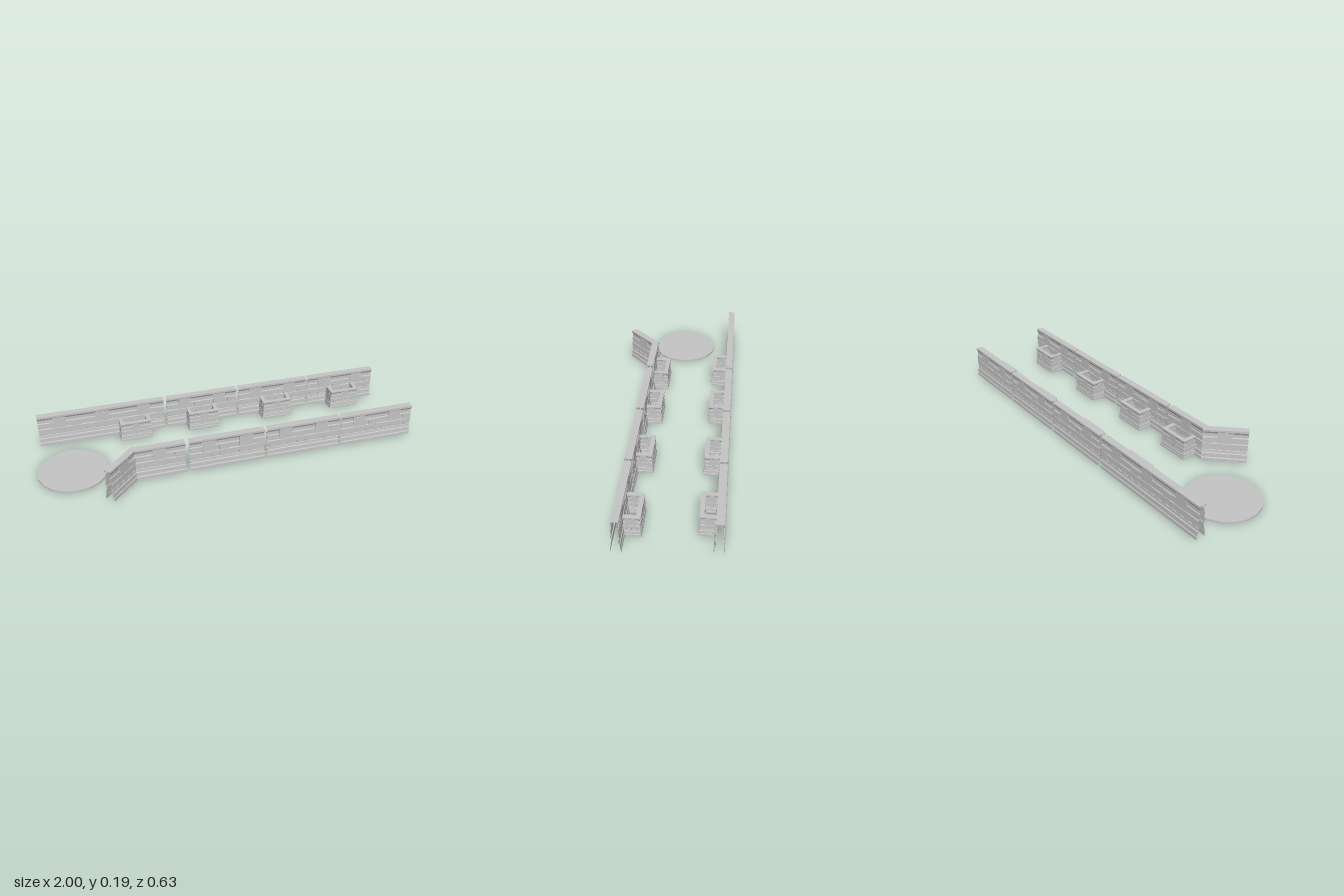
import * as THREE from 'three';
import { mergeGeometries } from 'three/addons/utils/BufferGeometryUtils.js';

const stone = new THREE.MeshStandardMaterial({ color: 0xc6c6c6, side: THREE.DoubleSide });
stone.name = 'grey stone';

// Half of the wall section: [half thickness, height above the foot]
const half = [
  [0.024, 0], [0.024, 0.016], [0.021, 0.021], [0.0205, 0.043], [0.017, 0.046],
  [0.016, 0.06], [0.014, 0.062], [0.014, 0.077], [0.018, 0.077], [0.018, 0.098],
  [0.015, 0.102], [0.015, 0.132], [0.012, 0.136], [0.012, 0.154], [0.018, 0.165], [0.018, 0.176],
];
const section = [...half, ...half.map(([w, h]) => [-w, h]).reverse()];
const FOOT = 0.01;

const sideOf = (a, b) => {
  const d = new THREE.Vector2().subVectors(b, a).normalize();
  return new THREE.Vector2(-d.y, d.x);
};

// Sweeps the section along a plan path with mitred corners; foot and ends stay open
function sweep(path, scale) {
  const miter = path.map((p, i) => {
    const n0 = i > 0 ? sideOf(path[i - 1], p) : sideOf(p, path[i + 1]);
    const n1 = i < path.length - 1 ? sideOf(p, path[i + 1]) : n0;
    const m = n0.clone().add(n1);
    return m.multiplyScalar(2 / m.lengthSq());
  });
  const at = (i, [w, h]) => [
    path[i].x + miter[i].x * w * scale, FOOT + h * scale, path[i].y + miter[i].y * w * scale,
  ];
  const pos = [];
  for (let i = 0; i < path.length - 1; i++) {
    for (let j = 0; j < section.length - 1; j++) {
      const a = at(i, section[j]), b = at(i + 1, section[j]);
      const c = at(i + 1, section[j + 1]), d = at(i, section[j + 1]);
      pos.push(...a, ...b, ...c, ...a, ...c, ...d);
    }
  }
  const g = new THREE.BufferGeometry();
  g.setAttribute('position', new THREE.Float32BufferAttribute(pos, 3));
  g.computeVertexNormals();
  return g;
}

// Repeats a thin block along both faces of every straight stretch
function blocks(path, scale, { pitch, width, low, high, outer, depth, shift = 0 }) {
  const list = [];
  for (let i = 0; i < path.length - 1; i++) {
    const a = path[i], b = path[i + 1], n = sideOf(a, b);
    const length = a.distanceTo(b);
    const count = Math.max(1, Math.round(length / (pitch * scale)));
    for (let k = 0; k < count; k++) {
      // Keep the block inside its stretch
      const along = Math.min((k + 0.5 + shift) / count * length, length - width * scale / 2);
      const p = a.clone().lerp(b, along / length);
      for (const s of [1, -1]) {
        const off = s * (outer - depth / 2) * scale;
        const g = new THREE.BoxGeometry(width * scale, (high - low) * scale, depth * scale);
        // Leave off the face against the wall
        g.setIndex(Array.from(g.index.array).slice(0, 30));
        g.rotateY(Math.atan2(n.x * s, n.y * s));
        g.translate(p.x + n.x * off, FOOT + (low + high) / 2 * scale, p.y + n.y * off);
        list.push(g);
      }
    }
  }
  return mergeGeometries(list);
}

function wall(name, points, scale = 1) {
  const path = points.map(([x, z]) => new THREE.Vector2(x, z));
  const group = new THREE.Group();
  group.name = name;
  const add = (label, geometry) => {
    const mesh = new THREE.Mesh(geometry, stone);
    mesh.name = label;
    group.add(mesh);
  };
  add('wallShell', sweep(path, scale));
  add('corbels', blocks(path, scale,
    { pitch: 0.048, width: 0.025, low: 0.063, high: 0.077, outer: 0.018, depth: 0.004 }));
  add('tallPanels', blocks(path, scale,
    { pitch: 0.2, width: 0.07, low: 0.1, high: 0.163, outer: 0.0165, depth: 0.0045 }));
  add('lowPanels', blocks(path, scale,
    { pitch: 0.2, width: 0.05, low: 0.1, high: 0.13, outer: 0.0175, depth: 0.0025, shift: 0.4 }));
  return group;
}

export function createModel() {
  const model = new THREE.Group();
  model.name = 'wallSet';
  const frontZ = 0.152, backZ = -0.289;

  // Long wall rows
  const frontRuns = [[-0.53, -0.262], [-0.241, 0.158], [0.176, 0.578], [0.592, 1.0]];
  const backRuns = [[-0.963, -0.28], [-0.262, 0.139], [0.155, 0.56], [0.575, 0.975]];
  for (const [a, b] of frontRuns) model.add(wall('frontWall', [[a, frontZ], [b, frontZ]]));
  for (const [a, b] of backRuns) model.add(wall('backWall', [[a, backZ], [b, backZ]]));

  // Angled wing running into the end of the front row
  model.add(wall('angledWall', [[-0.673, 0.297], [-0.515, 0.139]]));

  // Small three-sided bays on the inner faces
  const S = 0.59, inset = 0.024 * S;
  const bay = (name, x, wallZ, farZ) => {
    const r = 0.0875 - inset;
    model.add(wall(name, [[x - r, wallZ], [x - r, farZ], [x + r, farZ], [x + r, wallZ]], S));
  };
  for (const x of [-0.39, -0.043, 0.371, 0.808]) bay('frontBay', x, 0.14, 0.053 + inset);
  for (const x of [-0.451, -0.07, 0.361, 0.775]) bay('backBay', x, -0.277, -0.192 - inset);

  // Flat round base
  const disc = new THREE.Mesh(new THREE.CylinderGeometry(0.182, 0.182, 0.01, 18).toNonIndexed(), stone);
  disc.geometry.computeVertexNormals();
  disc.name = 'roundBase';
  disc.position.set(-0.818, 0.005, -0.005);
  model.add(disc);
  return model;
}
